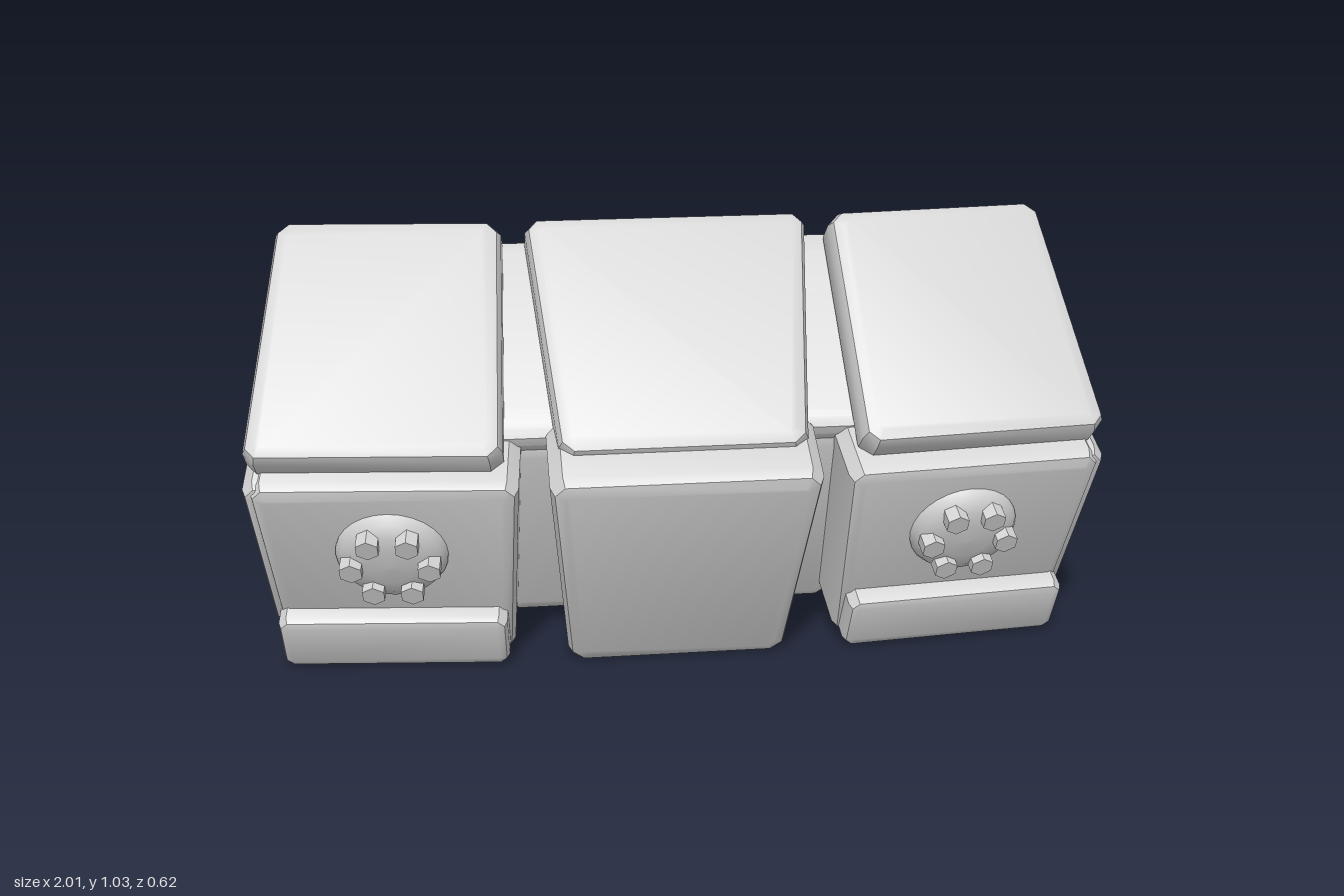
import * as THREE from 'three';
import { toCreasedNormals } from 'three/addons/utils/BufferGeometryUtils.js';

const grey = new THREE.MeshStandardMaterial({ color: 0xd2d2d2 });
grey.name = 'light grey';

function add(parent, name, geometry) {
  const mesh = new THREE.Mesh(geometry, grey);
  mesh.name = name;
  parent.add(mesh);
  return mesh;
}

// Bevelled slab: outline in x/y with clipped corners, spanning depth z0..z1
function slab(points, z0, z1, bevel) {
  const shape = new THREE.Shape();
  const p = points.map(([x, y]) => new THREE.Vector2(x, y));
  const clip = bevel * 0.9;
  p.forEach((c, i) => {
    const toward = (q) => c.clone().add(q.clone().sub(c).setLength(clip));
    const a = toward(p[(i + p.length - 1) % p.length]);
    const b = toward(p[(i + 1) % p.length]);
    if (i === 0) shape.moveTo(a.x, a.y);
    else shape.lineTo(a.x, a.y);
    shape.lineTo(b.x, b.y);
  });
  shape.closePath();
  const g = new THREE.ExtrudeGeometry(shape, {
    depth: z1 - z0 - 2 * bevel, bevelEnabled: true, bevelThickness: bevel,
    bevelSize: bevel, bevelOffset: -bevel, bevelSegments: 2,
  });
  g.translate(0, 0, z0 + bevel);
  return toCreasedNormals(g, 0.5);
}

// Symmetric four-sided outline
const taper = (wBottom, wTop, y0, y1) =>
  [[-wBottom, y0], [wBottom, y0], [wTop, y1], [-wTop, y1]];

function tilted(parent, name, angle) {
  const g = new THREE.Group();
  g.name = name;
  g.rotation.x = angle;
  parent.add(g);
  return g;
}

const LOWER = 0.41, UPPER = -Math.PI / 4, PIVOT = 0.69;

export function createModel() {
  const model = new THREE.Group();
  model.name = 'articulatedArmourPlates';

  // Central lower plate and the box behind it
  const lower = tilted(model, 'lowerCentre', LOWER);
  add(lower, 'lowerCentrePlate', slab(taper(0.265, 0.315, 0.015, 0.635), -0.16, 0.075, 0.035));
  add(lower, 'rearBox', slab(taper(0.41, 0.41, -0.02, 0.56), -0.266, -0.13, 0.03));

  // Central upper plate and the wide backing plate
  const upper = tilted(model, 'upperCentre', UPPER);
  add(upper, 'upperCentrePlate', slab(taper(0.285, 0.34, 0.255, 0.875), 0.47, 0.602, 0.032));
  add(upper, 'backingPlate', slab([[-0.8, 0.33], [0.8, 0.33], [0.87, 0.4], [0.85, 0.835],
    [0.68, 0.865], [-0.68, 0.865], [-0.85, 0.835], [-0.87, 0.4]], 0.41, 0.515, 0.03));

  // Bracket joining the upper and lower halves
  const profile = new THREE.Shape([[0.145, 0.72], [0.112, 0.4], [0, 0.4], [-0.1, 0.5], [-0.1, 0.62], [0, 0.7]]
    .map(([x, y]) => new THREE.Vector2(x, y)));
  const bracket = new THREE.ExtrudeGeometry(profile, { depth: 0.54, bevelEnabled: false });
  bracket.translate(0, 0, -0.27).rotateY(Math.PI / 2);
  add(model, 'rearBracket', bracket);

  for (const s of [1, -1]) {
    const side = s > 0 ? 'left' : 'right';
    const wing = new THREE.Group();
    wing.name = side + 'Wing';
    wing.position.x = s * PIVOT;
    wing.rotation.y = s * 0.09;
    model.add(wing);
    const pts = (list) => list.map(([x, y]) => [s * (x - PIVOT), y]);

    // Lower block, outer end cap and bottom bumper
    const low = tilted(wing, side + 'Lower', LOWER);
    add(low, side + 'LowerBlock', slab(pts([[0.395, 0.005], [0.945, 0.005], [0.972, 0.58], [0.36, 0.58]]), -0.2, 0.005, 0.03));
    add(low, side + 'EndCap', slab(pts([[0.86, 0.1], [0.968, 0.1], [0.99, 0.575], [0.86, 0.575]]), -0.155, -0.006, 0.03));
    add(low, side + 'Bumper', slab(pts([[0.405, 0.018], [0.95, 0.018], [0.95, 0.18], [0.405, 0.18]]), -0.05, 0.055, 0.022));

    // Domed boss with a ring of six hexagonal bolts
    const boss = new THREE.LatheGeometry([[0.132, -0.03], [0.13, 0.01], [0.118, 0.03], [0.09, 0.046], [0.05, 0.054], [0, 0.056]]
      .map(([x, y]) => new THREE.Vector2(x, y)), 28);
    boss.rotateX(Math.PI / 2);
    add(low, side + 'Boss', boss).position.set(s * -0.028, 0.375, 0);
    for (let i = 0; i < 6; i++) {
      const a = i * Math.PI / 3;
      const bolt = new THREE.CylinderGeometry(0.029, 0.029, 0.05, 6).toNonIndexed();
      bolt.computeVertexNormals();
      bolt.rotateX(Math.PI / 2);
      add(low, side + 'Bolt', bolt).position.set(s * -0.028 + 0.09 * Math.cos(a), 0.375 + 0.09 * Math.sin(a), 0.046);
    }

    // Upper plate
    const up = tilted(wing, side + 'Upper', UPPER);
    add(up, side + 'UpperPlate', slab(pts([[0.395, 0.265], [0.983, 0.265], [0.942, 0.885], [0.412, 0.885]]), 0.472, 0.592, 0.032));

    // Block on the rear of the wing
    add(model, side + 'RearBlock', slab([[s * 0.42, 0.405], [s * 0.8, 0.405], [s * 0.8, 0.6], [s * 0.42, 0.6]], -0.115, 0.05, 0.028));

    // Level pins breaking out of the sloping rear face
    for (const [y, z] of [[0.18, -0.16], [0.49, -0.03]]) {
      const pin = new THREE.CylinderGeometry(0.07, 0.07, 0.12, 24);
      pin.rotateX(Math.PI / 2);
      add(model, side + 'RearPin', pin).position.set(s * 0.82, y, z + 0.06);
    }
  }
  return model;
}
